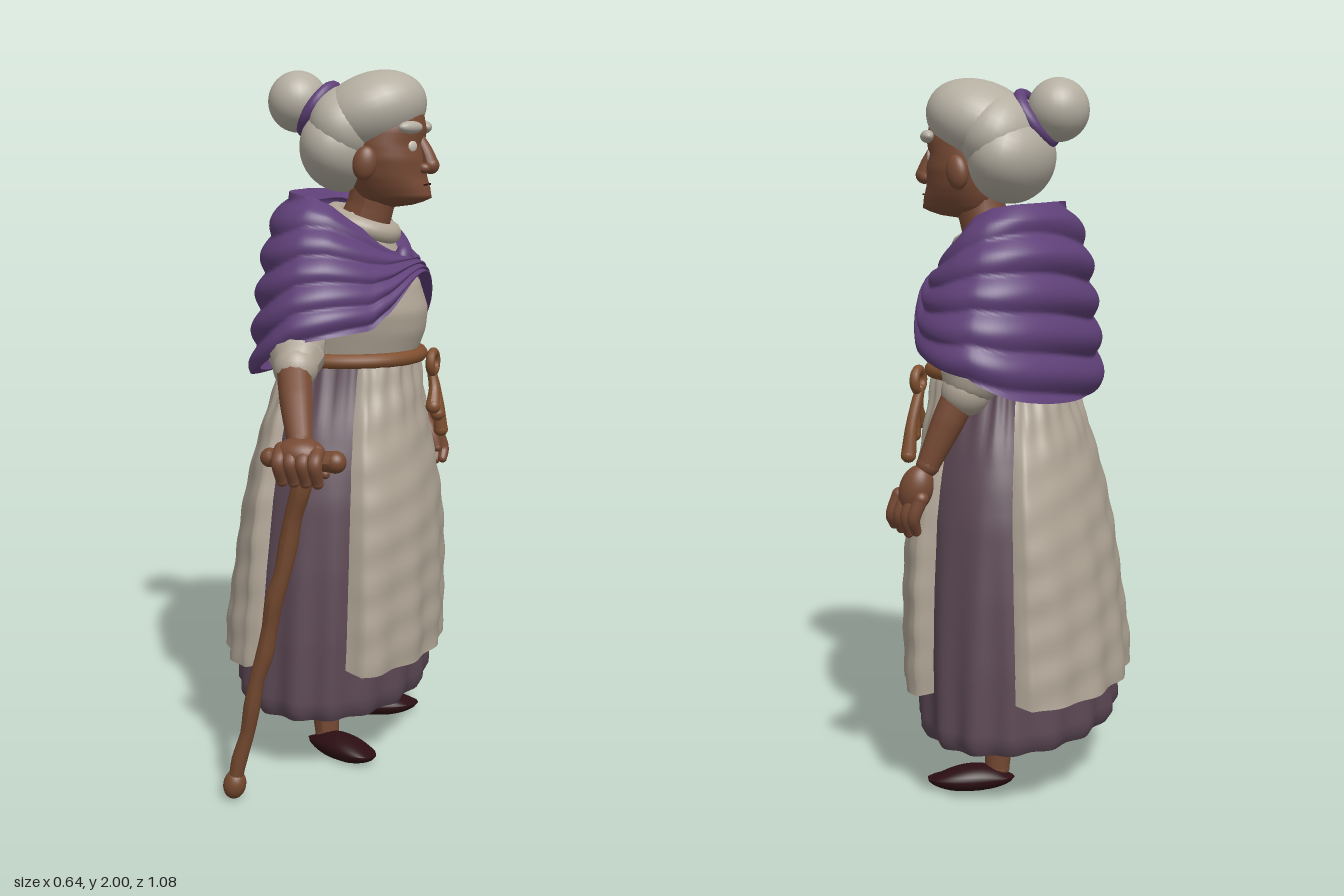
import * as THREE from 'three';

const mat = (name, color, side = THREE.FrontSide) => {
  const m = new THREE.MeshStandardMaterial({ color, side });
  m.name = name;
  return m;
};
const V = (x, y, z) => new THREE.Vector3(x, y, z);
const CZ = -0.1; // body axis in z; the figure faces +x

// Linear lookup in rows of [key, ...values], keys ascending
function look(rows, k, col = 1) {
  if (k <= rows[0][0]) return rows[0][col];
  for (let i = 1; i < rows.length; i++) {
    const a = rows[i - 1], b = rows[i];
    if (k <= b[0]) return a[col] + (b[col] - a[col]) * (k - a[0]) / (b[0] - a[0]);
  }
  return rows[rows.length - 1][col];
}

// Grid surface from f(u, v) -> Vector3; wrap joins the u ends
function surface(f, nu, nv, wrap) {
  const pos = [], idx = [], cols = wrap ? nu : nu + 1;
  for (let j = 0; j <= nv; j++)
    for (let i = 0; i < cols; i++) pos.push(...f(i / nu, j / nv).toArray());
  for (let j = 0; j < nv; j++)
    for (let i = 0; i < nu; i++) {
      const a = j * cols + i, b = j * cols + (i + 1) % cols, c = a + cols, d = b + cols;
      idx.push(a, b, c, b, d, c);
    }
  const g = new THREE.BufferGeometry();
  g.setAttribute('position', new THREE.Float32BufferAttribute(pos, 3));
  g.setIndex(idx);
  g.computeVertexNormals();
  return g;
}

// Point on an oval ring with separate front, back and side radii
const oval = (th, y, front, back, side, cx = 0) =>
  V(cx + Math.cos(th) * (Math.cos(th) > 0 ? front : back), y, CZ + Math.sin(th) * side);

// Rows: [y, front, back, side]
const SKIRT = [[0.17, 0.245, 0.26, 0.37], [0.2, 0.262, 0.28, 0.388], [0.4, 0.272, 0.272, 0.378],
  [0.6, 0.272, 0.248, 0.36], [0.8, 0.265, 0.22, 0.335], [0.9, 0.256, 0.204, 0.312], [1, 0.244, 0.184, 0.278],
  [1.1, 0.235, 0.157, 0.235], [1.2, 0.23, 0.13, 0.2]];
const TORSO = [[1.14, 0.22, 0.12, 0.19], [1.2, 0.24, 0.13, 0.2], [1.26, 0.262, 0.15, 0.215], [1.32, 0.268, 0.16, 0.23],
  [1.4, 0.24, 0.16, 0.23], [1.48, 0.18, 0.13, 0.19], [1.55, 0.15, 0.09, 0.13], [1.6, 0.12, 0.06, 0.08]];
const FACE = [[1.61, 0.01, 0.01, 0.01], [1.622, 0.1, 0.06, 0.05], [1.64, 0.14, 0.08, 0.078], [1.67, 0.134, 0.09, 0.096],
  [1.7, 0.124, 0.09, 0.11], [1.75, 0.122, 0.1, 0.122], [1.79, 0.113, 0.1, 0.122], [1.83, 0.121, 0.1, 0.118],
  [1.9, 0.108, 0.09, 0.1], [1.93, 0.02, 0.02, 0.02]];
// Shawl edges by turn from front (0) to back (1), and radii from neck (0) to hem (1)
const SHAWL_EDGE = [[0, 1.49, 1.425], [0.03, 1.51, 1.375], [0.06, 1.525, 1.335], [0.13, 1.56, 1.28], [0.35, 1.625, 1.25],
  [0.5, 1.645, 1.235], [0.75, 1.655, 1.17], [1, 1.66, 1.12]];
const SHAWL_R = [[0, 0.16, 0.12, 0.21], [0.08, 0.185, 0.15, 0.25], [0.25, 0.215, 0.185, 0.3],
  [0.5, 0.24, 0.2, 0.35], [0.8, 0.255, 0.21, 0.4], [1, 0.258, 0.215, 0.41]];

function skirtPoint(th, y, off) {
  const low = Math.max(0, 1 - y / 0.9), high = Math.max(0, (y - 0.95) / 0.25);
  const r = off + 0.011 * low * Math.cos(th * 16) + 0.006 * high * Math.cos(th * 26);
  return oval(th, y, look(SKIRT, y, 1) + r, look(SKIRT, y, 2) + r, look(SKIRT, y, 3) + r);
}

// Apron panel centred on a heading, with a turned-in hem and side edges
function apronPanel(centre, half) {
  return surface((u, v) => {
    const edge = Math.min(1, Math.min(u, 1 - u) * 16), s = Math.min(1, v / 0.95);
    const y = 1.2 - 0.895 * s + (v > 0.98 ? 0.01 : 0) + 0.015 * s * (1 - edge);
    const th = centre + (u * 2 - 1) * half;
    const crumple = 0.004 * Math.sin(th * 9 + y * 21) * Math.sin(y * 33 - th * 4);
    const off = v > 0.98 ? -0.01 : (0.01 + 0.03 * Math.min(1, s * 1.8) + crumple) * edge - 0.004 * (1 - edge);
    return skirtPoint(th, y, off);
  }, 64, 50, false);
}

// Draped shawl with rolled folds, its neck edge and hem turned inward
function shawlPoint(u, v) {
  const th = u * Math.PI * 2, turn = (1 - Math.cos(th)) / 2, sin = Math.sin(th);
  const s = Math.min(1, Math.max(0, (v - 0.04) / 0.92)), top = look(SHAWL_EDGE, turn, 1);
  const hem = look(SHAWL_EDGE, turn, 2) + 0.025 * sin * Math.abs(sin);
  const fold = (0.01 + 0.016 * turn) * (Math.abs(Math.sin(Math.PI * (s * 5 + 0.25 * Math.sin(th * 2)))) - 0.35);
  const inner = v < 0.02, outer = v > 0.98;
  const r = fold - (outer ? 0.03 : inner ? 0.03 + 0.06 * turn : 0);
  return oval(th, top + (hem - top) * s + (outer ? 0.012 : inner ? -0.025 : 0),
    look(SHAWL_R, s, 1) + r, look(SHAWL_R, s, 2) + r, look(SHAWL_R, s, 3) + r);
}

// Tapered tube through points, one radius for each point
function taper(points, radii, seg = 24, sides = 12) {
  const curve = new THREE.CatmullRomCurve3(points);
  const g = new THREE.TubeGeometry(curve, seg, 1, sides, false), p = g.attributes.position, v = V(0, 0, 0);
  const rows = radii.map((r, i) => [i / (radii.length - 1), r]);
  for (let i = 0; i < p.count; i++) {
    const t = Math.floor(i / (sides + 1)) / seg, c = curve.getPointAt(t);
    v.fromBufferAttribute(p, i).sub(c).multiplyScalar(look(rows, t)).add(c);
    p.setXYZ(i, v.x, v.y, v.z);
  }
  g.computeVertexNormals();
  return g;
}

export function createModel() {
  const root = new THREE.Group();
  root.name = 'oldWomanWithCane';
  const cream = mat('cream cloth', 0xb0a596, THREE.DoubleSide), hair = mat('white hair', 0xb5afa2);
  const purple = mat('purple wool', 0x5f4078, THREE.DoubleSide), plum = mat('plum skirt', 0x5c4854, THREE.DoubleSide);
  const skin = mat('skin', 0x774a34), wood = mat('cane wood', 0x74492f), leather = mat('belt leather', 0x80502f);
  const shoe = mat('shoe leather', 0x2b0e13, THREE.DoubleSide), white = mat('eye white', 0xc8c0b4);

  const add = (name, geo, m) => {
    const mesh = new THREE.Mesh(geo, m);
    mesh.name = name;
    root.add(mesh);
    return mesh;
  };
  const ball = (name, m, p, r, rz = 0, ry = 0) => {
    const b = add(name, new THREE.SphereGeometry(1, 28, 20), m);
    b.position.copy(p); b.scale.set(...r); b.rotation.set(0, ry, rz);
    return b;
  };
  // Limb with rounded ends
  const limb = (name, m, pts, radii) => {
    add(name, taper(pts, radii), m);
    [0, pts.length - 1].forEach(i => ball(name + 'End', m, pts[i], Array(3).fill(radii[i])));
  };
  const loft = (rows, cx) => surface((u, v) => {
    const y = rows[rows.length - 1][0] + (rows[0][0] - rows[rows.length - 1][0]) * v;
    return oval(u * Math.PI * 2, y, look(rows, y, 1), look(rows, y, 2), look(rows, y, 3), cx);
  }, 40, 32, true);

  // Skirt, lining and apron
  add('skirt', surface((u, v) => skirtPoint(u * Math.PI * 2, 1.2 - 1.03 * v, 0), 128, 36, true), plum);
  const lining = add('skirtLining', new THREE.CircleGeometry(1, 48).rotateX(Math.PI / 2), skin);
  lining.scale.set(0.258, 1, 0.374);
  lining.position.set(-0.008, 0.183, CZ);
  add('apronFront', apronPanel(0, 1.05), cream);
  add('apronBack', apronPanel(Math.PI, 1.17), cream);

  // Bodice, collar, shawl and its knot
  add('bodice', loft(TORSO, 0), cream);
  const collar = add('collar', new THREE.TorusGeometry(0.088, 0.03, 12, 32).rotateX(Math.PI / 2), cream);
  collar.position.set(0.075, 1.565, CZ);
  collar.rotation.z = -0.35;
  add('shawl', surface(shawlPoint, 96, 80, true), purple);
  ball('shawlKnot', purple, V(0.2, 1.46, CZ), [0.028, 0.045, 0.04]);

  // Belt with a loop and hanging cords
  const ring = Array.from({ length: 32 }, (_, i) => oval(i / 32 * Math.PI * 2, 1.187, 0.247, 0.145, 0.21));
  add('belt', new THREE.TubeGeometry(new THREE.CatmullRomCurve3(ring, true), 80, 0.021, 10, true), leather);
  const loop = add('beltLoop', new THREE.TorusGeometry(0.03, 0.014, 10, 24).rotateY(Math.PI / 2), leather);
  loop.position.set(0.27, 1.155, -0.18);
  [[-0.14, 1.03], [-0.19, 1.0], [-0.23, 0.945]].forEach(([z, y]) =>
    limb('beltCord', leather, [V(0.266, 1.13, -0.18), V(0.277, (1.13 + y) / 2, (z - 0.2) / 2), V(0.283, y, z)], [0.014, 0.016, 0.022]));

  // Neck and face
  limb('neck', skin, [V(0.06, 1.52, CZ), V(0.1, 1.62, CZ), V(0.12, 1.72, CZ)], [0.08, 0.07, 0.07]);
  add('face', loft(FACE, 0.14), skin);
  limb('nose', skin, [V(0.24, 1.815, CZ), V(0.265, 1.765, CZ), V(0.277, 1.732, CZ)], [0.014, 0.02, 0.025]);
  const mouth = add('mouth', new THREE.BoxGeometry(0.006, 0.005, 0.06), shoe);
  mouth.position.set(0.268, 1.678, CZ);
  for (const s of [-1, 1]) {
    ball('nostril', skin, V(0.262, 1.724, CZ + s * 0.022), [0.02, 0.015, 0.015]);
    ball('eye', white, V(0.237, 1.785, CZ + s * 0.053), [0.01, 0.019, 0.02], 0, -s * 0.3);
    ball('eyebrow', hair, V(0.238, 1.838, CZ + s * 0.072), [0.02, 0.018, 0.045], 0, -s * 0.45);
    ball('ear', skin, V(0.125, 1.74, CZ + s * 0.14), [0.034, 0.048, 0.024], -0.15, s * 0.3);
  }

  // Hair swept back, with a bun and tie
  ball('hairCrown', hair, V(0.098, 1.872, CZ), [0.168, 0.117, 0.16], 0.42);
  ball('hairMiddle', hair, V(0.04, 1.835, CZ), [0.115, 0.125, 0.172], 0.4);
  ball('hairBack', hair, V(0.015, 1.78, CZ), [0.118, 0.128, 0.177], 0.25);
  ball('bun', hair, V(-0.115, 1.91, -0.08), [0.086, 0.088, 0.094]);
  const tie = add('hairTie', new THREE.TorusGeometry(0.074, 0.02, 12, 36).rotateY(Math.PI / 2), purple);
  tie.position.set(-0.052, 1.888, -0.085);
  tie.rotation.z = -0.6;

  // Right arm reaching to the cane
  limb('rightSleeve', cream, [V(-0.02, 1.44, 0.07), V(-0.01, 1.33, 0.16), V(0, 1.24, 0.23)], [0.07, 0.07, 0.07]);
  limb('rightCuff', cream, [V(-0.005, 1.24, 0.235), V(0.005, 1.21, 0.27), V(0.01, 1.195, 0.29)], [0.068, 0.078, 0.062]);
  limb('rightForearm', skin, [V(0, 1.21, 0.28), V(0.045, 1.11, 0.38), V(0.085, 1.02, 0.46)], [0.05, 0.045, 0.034]);
  ball('rightPalm', skin, V(0.09, 0.998, 0.475), [0.068, 0.045, 0.055]);
  for (let i = 0; i < 4; i++) {
    const x = 0.042 + i * 0.033;
    limb('rightFinger', skin, [V(x, 1.01, 0.485), V(x + 0.005, 0.985, 0.522), V(x + 0.008, 0.93, 0.505)], [0.02, 0.02, 0.016]);
  }
  limb('rightThumb', skin, [V(0.1, 1.0, 0.44), V(0.13, 0.975, 0.428), V(0.145, 0.94, 0.435)], [0.02, 0.018, 0.014]);

  // Left arm hanging
  limb('leftSleeve', cream, [V(-0.02, 1.44, -0.27), V(-0.01, 1.33, -0.36), V(0.02, 1.22, -0.41)], [0.07, 0.07, 0.07]);
  limb('leftCuff', cream, [V(0.02, 1.215, -0.41), V(0.028, 1.185, -0.42), V(0.035, 1.165, -0.425)], [0.072, 0.082, 0.066]);
  limb('leftForearm', skin, [V(0.03, 1.2, -0.42), V(0.08, 1.08, -0.45), V(0.125, 0.97, -0.475)], [0.05, 0.045, 0.032]);
  ball('leftPalm', skin, V(0.155, 0.905, -0.488), [0.046, 0.068, 0.042], 0.3);
  for (let i = 0; i < 4; i++) {
    const x = 0.13 + i * 0.026, z = -0.515 + i * 0.012;
    limb('leftFinger', skin, [V(x, 0.885, z), V(x + 0.018, 0.83, z - 0.008), V(x + 0.02, 0.785 + 0.008 * Math.abs(i - 1), z + 0.012)], [0.02, 0.018, 0.014]);
  }
  limb('leftThumb', skin, [V(0.165, 0.935, -0.465), V(0.2, 0.88, -0.45), V(0.215, 0.84, -0.445)], [0.022, 0.019, 0.014]);

  // Gnarled cane
  const shaft = [], girth = [];
  for (let i = 0; i <= 12; i++) {
    const t = i / 12;
    shaft.push(V(0.105 - 0.215 * t + 0.003 * Math.sin(i * 2.1), 0.98 - 0.94 * t, 0.467 + 0.003 * Math.sin(i * 1.7)));
    girth.push(0.026 - 0.007 * t + (i % 2) * 0.003);
  }
  add('caneShaft', taper(shaft, girth, 60), wood);
  ball('caneTip', wood, V(-0.11, 0.042, 0.467), [0.032, 0.042, 0.032], -0.2);
  limb('caneHandle', wood, [V(0, 0.98, 0.462), V(0.1, 0.98, 0.462), V(0.183, 0.98, 0.462)], [0.026, 0.024, 0.03]);

  // Legs and shoes, toes turned out
  for (const s of [-1, 1]) {
    const z = CZ + s * 0.14;
    limb('leg', skin, [V(-0.01, 0.32, z), V(0.005, 0.18, z), V(0.015, 0.05, z)], [0.055, 0.045, 0.036]);
    // Sole-flattened sections from heel to toe
    add('shoe', surface((u, v) => {
      const a = -u * Math.PI * 2, w = Math.pow(Math.sin(Math.PI * Math.min(0.999, Math.max(0.001, v))), 0.5);
      const wide = (0.05 + 0.02 * v) * w, high = (0.072 - 0.014 * v) * w, up = Math.sin(a);
      return V(-0.04 + 0.235 * v, Math.max(0, 0.03 + up * (up > 0 ? Math.max(0, high - 0.03) : 0.04 * w)),
        z + s * (0.01 + 0.075 * v) + Math.cos(a) * wide);
    }, 28, 24, true), shoe);
  }
  return root;
}
